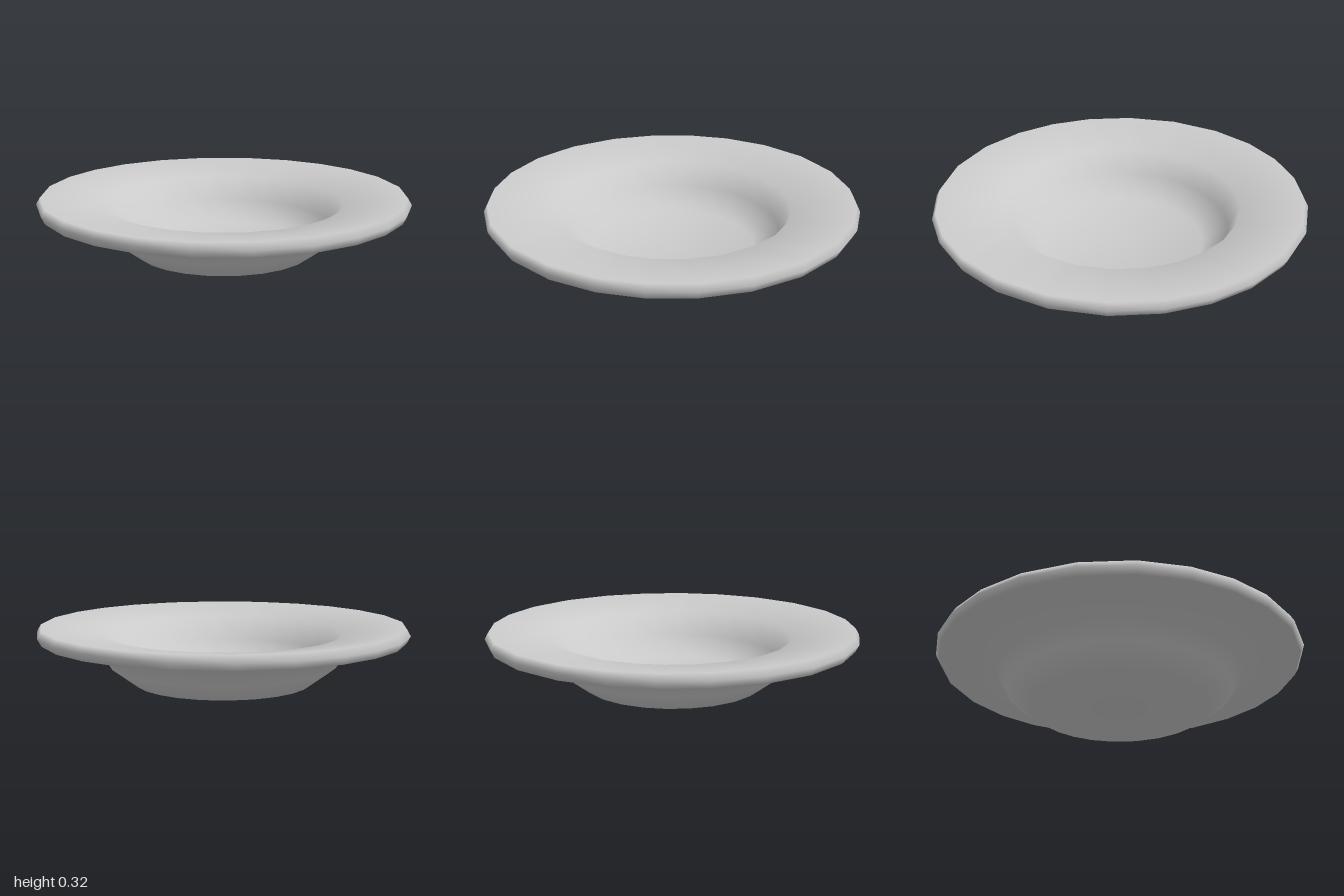
import * as THREE from 'three';
import { mergeVertices } from 'three/addons/utils/BufferGeometryUtils.js';

// Closed [radius, height] profile: underside outward, round the rim, back in over the top.
const PROFILE = [
  [0, 0], [0.48, 0], [0.615, 0.1], [0.68, 0.205],     // foot and outer wall
  [0.98, 0.245], [1, 0.285], [0.98, 0.32],            // rim edge
  [0.64, 0.27], [0.585, 0.14], [0.45, 0.04], [0, 0.04], // lip, inner wall, floor
];

export function createModel() {
  const group = new THREE.Group();
  group.name = 'soupPlate';

  const lathe = new THREE.LatheGeometry(PROFILE.map(([r, y]) => new THREE.Vector2(r, y)), 24);
  lathe.deleteAttribute('uv');
  lathe.deleteAttribute('normal');

  // Bunch the sides slightly toward the four axes
  const pos = lathe.attributes.position;
  for (let i = 0; i < pos.count; i++) {
    const r = Math.hypot(pos.getX(i), pos.getZ(i));
    const a = Math.atan2(pos.getX(i), pos.getZ(i));
    const b = a - 0.027 * Math.sin(4 * a);
    pos.setXYZ(i, r * Math.sin(b), pos.getY(i), r * Math.cos(b));
  }

  // Weld the seam so the shading is smooth all round
  const geometry = mergeVertices(lathe, 1e-4);
  geometry.computeVertexNormals();

  const plate = new THREE.Mesh(geometry, new THREE.MeshStandardMaterial({ color: 0xcccccc }));
  plate.name = 'plate';
  group.add(plate);
  return group;
}
